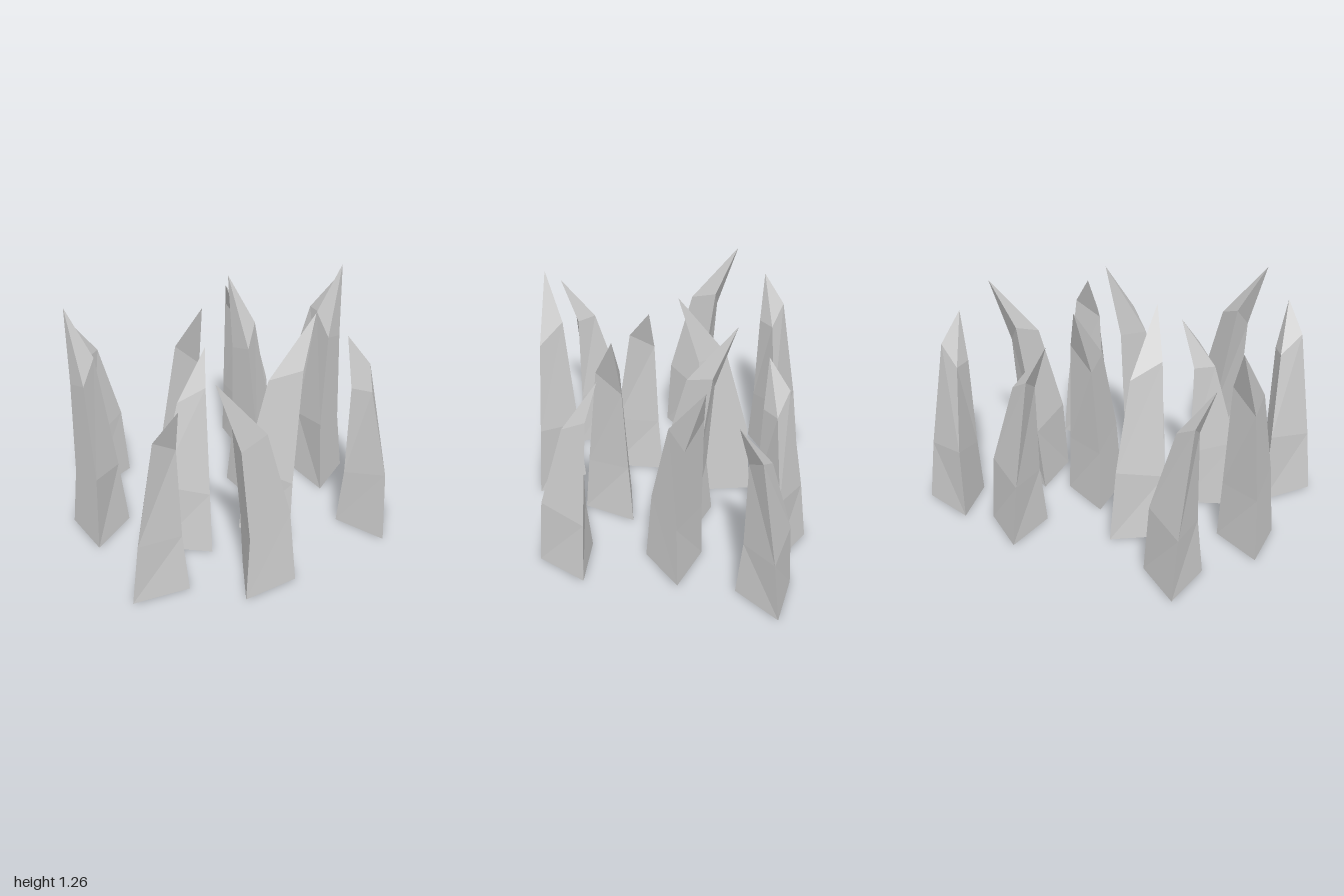
import * as THREE from 'three';

// Each spike: three ridges [x, y, z] rising from a triangular base to a shared leaning tip (lean is +x).
const TALL = {
  tip: [0.27, 1.26, 0],
  ridges: [
    [[0.155, 0, -0.09], [0.12, 0.35, -0.07], [0.155, 0.87, -0.045]],
    [[0, 0, 0.18], [0.035, 0.36, 0.15], [0.13, 1.0, 0.09]],
    [[-0.155, 0, -0.09], [-0.13, 0.42, -0.065], [0, 0.92, -0.04]],
  ],
};
const SHORT = {
  tip: [0.19, 1.12, 0],
  ridges: [
    [[0.155, 0, -0.09], [0.122, 0.33, -0.08], [0.115, 0.855, -0.062]],
    [[0, 0, 0.18], [0.025, 0.35, 0.15], [0.09, 0.95, 0.08]],
    [[-0.155, 0, -0.09], [-0.13, 0.4, -0.07], [0, 0.86, -0.04]],
  ],
};

// Skin the three ridges with faceted sides, a pointed top and a flat base.
function spikeGeometry({ tip, ridges }, mirrored) {
  const positions = [];
  const tri = (a, b, c) => {
    const corners = mirrored ? [a, c, b] : [a, b, c];
    for (const [x, y, z] of corners) positions.push(x, y, mirrored ? -z : z);
  };
  for (let i = 0; i < 3; i++) {
    const a = ridges[i];
    const b = ridges[(i + 1) % 3];
    for (let k = 0; k < 2; k++) {
      tri(a[k], a[k + 1], b[k]);
      tri(b[k], a[k + 1], b[k + 1]);
    }
    tri(a[2], tip, b[2]);
  }
  tri(ridges[0][0], ridges[1][0], ridges[2][0]);
  const geometry = new THREE.BufferGeometry();
  geometry.setAttribute('position', new THREE.Float32BufferAttribute(positions, 3));
  geometry.computeVertexNormals();
  return geometry;
}

export function createModel() {
  const group = new THREE.Group();
  group.name = 'spikeCluster';
  const material = new THREE.MeshStandardMaterial({ color: 0xcccccc, flatShading: true });

  // Placement: shape, x, z, lean direction in degrees (from +x towards +z), mirrored
  const spikes = [
    [TALL, -0.84, -0.155, -90],
    [TALL, 0.12, -0.047, -90],
    [TALL, -0.34, 0.717, 180],
    [TALL, -0.03, 0.352, 0],
    [TALL, -0.23, -0.293, 90],
    [TALL, 0.52, 0.045, -30, true],
    [SHORT, -0.587, -0.647, 160],
    [SHORT, 0.382, -0.54, 160],
    [SHORT, -0.49, 0.2, -20],
    [SHORT, -0.83, 0.457, 70],
    [SHORT, 0.457, 0.613, -110],
    [SHORT, 0.823, -0.43, 80, true],
  ];
  for (const [shape, x, z, degrees, mirrored = false] of spikes) {
    const spike = new THREE.Mesh(spikeGeometry(shape, mirrored), material);
    spike.name = shape === TALL ? 'tallSpike' : 'shortSpike';
    spike.position.set(x, 0, z);
    spike.rotation.y = -THREE.MathUtils.degToRad(degrees);
    group.add(spike);
  }
  return group;
}
